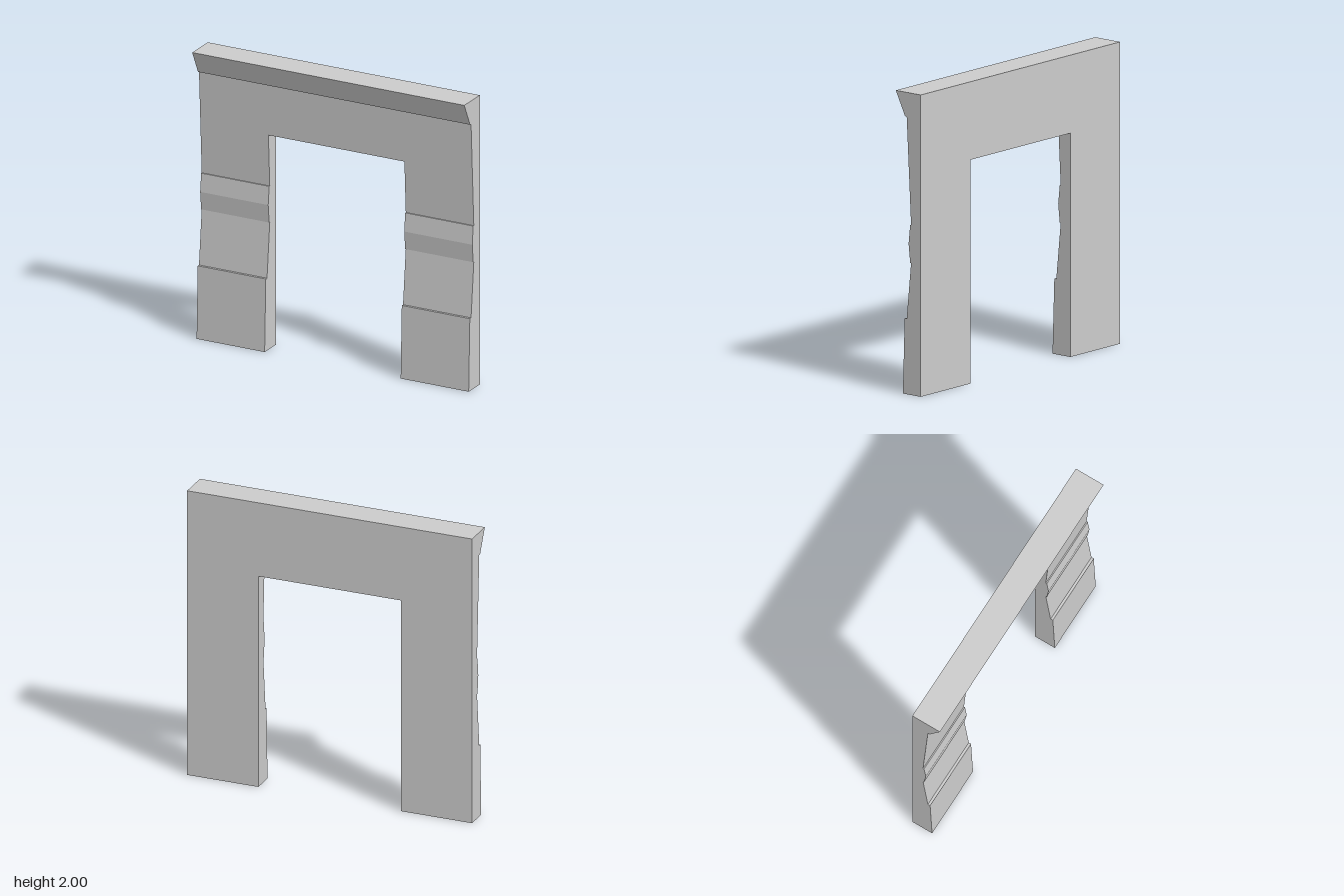
import * as THREE from 'three';

const BACK = -0.105, SPRING = 1.483, HALF_OPENING = 0.5;
const SPRING_Z = -0.0055; // front surface depth at the top of the opening

// Front contours as [z, y], running upwards
const legFront = [
  [0.045, 0], [0.03, 0.5], [0.013, 0.5],          // plinth and its ledge
  [-0.024, 0.875], [-0.016, 0.875], [-0.003, 1],  // taper, raised band
  [-0.016, 1.125], [-0.024, 1.125], [SPRING_Z, SPRING],
];
const lintelFront = [[SPRING_Z, SPRING], [0.013, 1.84], [0.027, 1.84], [0.105, 2]];

// Extrudes a side contour along x, leaving out the hidden joints between legs and lintel
function run(front, x0, x1, steps) {
  const top = front[front.length - 1][1], bottom = front[0][1];
  const outline = [...front, [BACK, top], [BACK, bottom]].map(([z, y]) => new THREE.Vector2(z, y));
  const solid = new THREE.ExtrudeGeometry(new THREE.Shape(outline), { depth: x1 - x0, steps, bevelEnabled: false });
  solid.rotateY(-Math.PI / 2).translate(x1, 0, 0);
  const p = solid.attributes.position, kept = [];
  for (let i = 0; i < p.count; i += 3) {
    const ids = [i, i + 1, i + 2];
    const atJoint = ids.every((k) => Math.abs(p.getY(k) - SPRING) < 1e-4);
    const midX = ids.reduce((sum, k) => sum + p.getX(k), 0) / 3;
    if (atJoint && Math.abs(midX) > HALF_OPENING) continue;
    for (const k of ids) kept.push(p.getX(k), p.getY(k), p.getZ(k));
  }
  const geometry = new THREE.BufferGeometry();
  geometry.setAttribute('position', new THREE.Float32BufferAttribute(kept, 3));
  geometry.computeVertexNormals();
  return geometry;
}

export function createModel() {
  const group = new THREE.Group();
  group.name = 'fireplaceSurround';
  const material = new THREE.MeshStandardMaterial({ color: 0xcccccc, flatShading: true });
  const add = (name, geometry) => {
    const mesh = new THREE.Mesh(geometry, material);
    mesh.name = name;
    group.add(mesh);
  };

  // Two moulded legs
  add('leftLeg', run(legFront, HALF_OPENING, 1, 1));
  add('rightLeg', run(legFront, -1, -HALF_OPENING, 1));
  // Lintel with the flared cornice, split along x at the opening edges
  add('lintelAndCornice', run(lintelFront, -1, 1, 4));
  return group;
}
